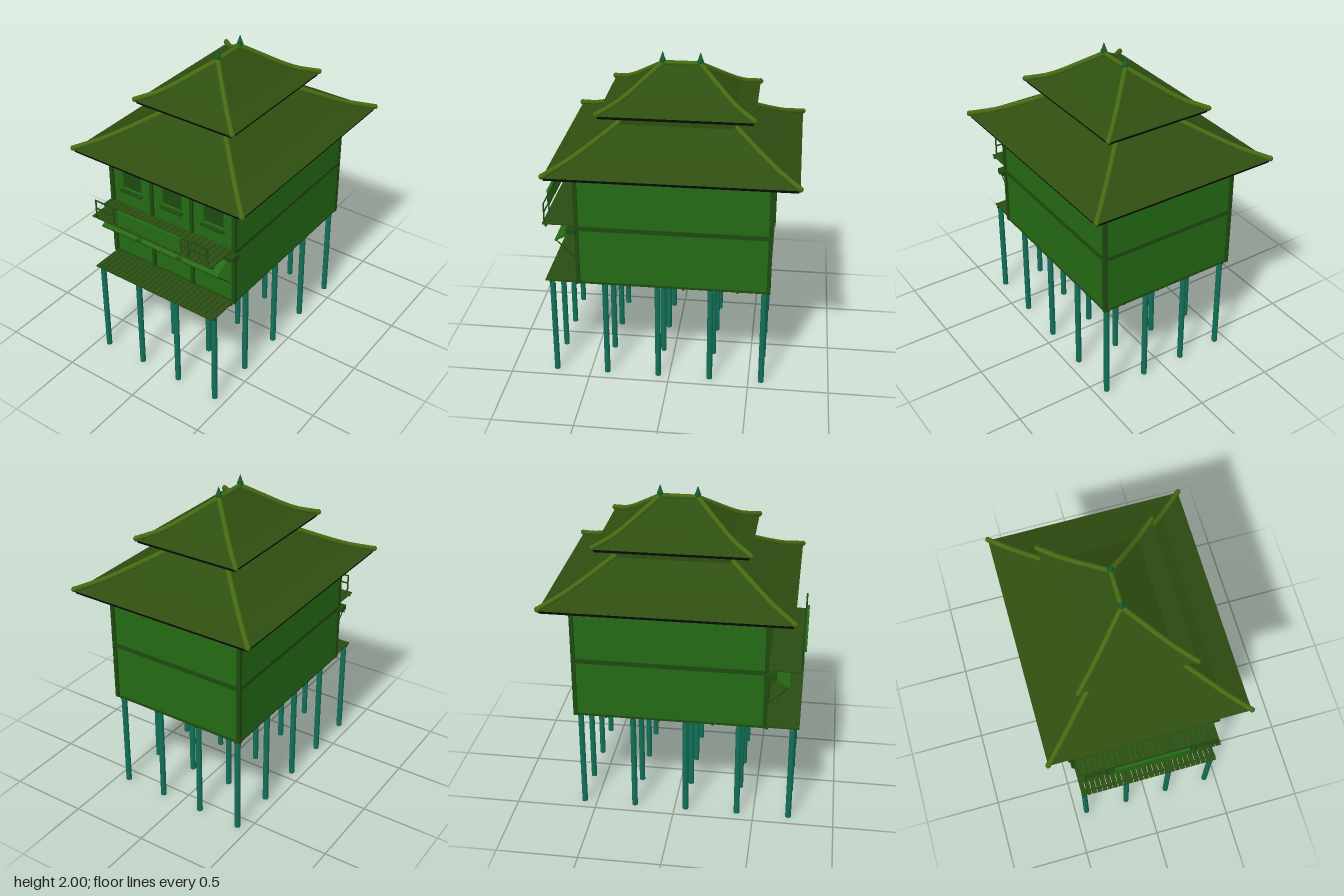
import * as THREE from 'three';

const mat = (color, side = THREE.FrontSide) =>
  new THREE.MeshStandardMaterial({ color, flatShading: false, side });

export function createModel() {
  const model = new THREE.Group();
  const tile = mat(0x2f4e10), ridge = mat(0x456b12), dark = mat(0x0c0f0a), wall = mat(0x246a14);
  const timber = mat(0x1f4a10), stilt = mat(0x127058), plank = mat(0x2a4d12), glass = mat(0x1d4a12);
  const finialMat = mat(0x146030);

  function add(name, geometry, material, x = 0, y = 0, z = 0, parent = model) {
    const mesh = new THREE.Mesh(geometry, material);
    mesh.name = name;
    mesh.position.set(x, y, z);
    parent.add(mesh);
    return mesh;
  }
  // box given by its limits on each axis
  function box(name, material, [x0, x1], [y0, y1], [z0, z1], parent) {
    return add(name, new THREE.BoxGeometry(x1 - x0, y1 - y0, z1 - z0), material,
      (x0 + x1) / 2, (y0 + y1) / 2, (z0 + z1) / 2, parent);
  }
  // round bar between two points
  function bar(name, material, a, b, r, parent) {
    const path = new THREE.LineCurve3(new THREE.Vector3(...a), new THREE.Vector3(...b));
    return add(name, new THREE.TubeGeometry(path, 1, r, 6), material, 0, 0, 0, parent);
  }

  // rectangular shell from [inset, height] rings
  function shell(hx, hz, rings, capBottom) {
    const pos = [];
    const corner = ([i, y], k) => {
      const sx = [1, 1, -1, -1][k % 4], sz = [1, -1, -1, 1][k % 4];
      return [sx * (hx - i), y, sz * (hz - i)];
    };
    const quad = (a, b, c, d) => pos.push(...a, ...b, ...c, ...a, ...c, ...d);
    for (let r = 0; r < rings.length - 1; r++) {
      for (let k = 0; k < 4; k++) {
        quad(corner(rings[r], k), corner(rings[r], k + 1), corner(rings[r + 1], k + 1), corner(rings[r + 1], k));
      }
    }
    if (capBottom) quad(...[3, 2, 1, 0].map(k => corner(rings[0], k)));
    const g = new THREE.BufferGeometry();
    g.setAttribute('position', new THREE.Float32BufferAttribute(pos, 3));
    g.computeVertexNormals();
    return g;
  }

  // hipped roof with dark eave slab and hip ridges
  function roof(name, hx, hz, y0, rings) {
    const g = new THREE.Group();
    g.name = name;
    g.position.z = -0.0275;
    model.add(g);
    add('roofTiles', shell(hx, hz, rings), tile, 0, 0, 0, g);
    add('eaves', shell(hx, hz, [[0.008, y0], [0, rings[0][1]]], true), dark, 0, 0, 0, g);
    for (const sx of [-1, 1]) for (const sz of [-1, 1]) {
      const pts = rings.map(([i, y], n) =>
        new THREE.Vector3(sx * (hx - i), y + (n ? 0.004 : 0.012), sz * (hz - i)));
      const path = new THREE.CurvePath();
      const bend = (a, b) => pts[a].clone().lerp(pts[b], 0.35);
      const p = bend(1, 0), q = bend(1, 2);
      path.add(new THREE.LineCurve3(pts[0], p));
      path.add(new THREE.QuadraticBezierCurve3(p, pts[1], q));
      path.add(new THREE.LineCurve3(q, pts[2]));
      add('hipRidge', new THREE.TubeGeometry(path, 16, 0.016, 8), ridge, 0, 0, 0, g);
      const cap = add('hipEnd', new THREE.SphereGeometry(0.017, 8, 6), ridge, 0, 0, 0, g);
      cap.position.copy(pts[0]);
    }
    return g;
  }

  // stilts
  for (const x of [-0.425, -0.142, 0.142, 0.425]) {
    for (const z of [0.72, 0.395, 0.07, -0.255, -0.58]) {
      add('stilt', new THREE.CylinderGeometry(0.018, 0.018, 0.635, 12), stilt, x, 0.3175, z);
    }
  }

  // floor: planks and joists
  const count = 26, step = 0.89 / count;
  for (let i = 0; i < count; i++) {
    const x = -0.445 + i * step;
    box('deckPlank', plank, [x, x + step - 0.004], [0.652, 0.662], [-0.61, 0.76]);
  }
  for (let i = 0; i < 9; i++) {
    const z = 0.73 - i * 0.164;
    box('joist', timber, [-0.445, 0.445], [0.64, 0.652], [z - 0.006, z + 0.006]);
  }
  for (const x of [-0.425, -0.142, 0.142, 0.425]) {
    box('floorBeam', timber, [x - 0.006, x + 0.006], [0.644, 0.652], [-0.61, 0.74]);
  }

  // two storeys
  box('lowerWalls', wall, [-0.45, 0.45], [0.66, 1.02], [-0.605, 0.545]);
  box('upperWalls', wall, [-0.45, 0.45], [1.04, 1.375], [-0.605, 0.53]);
  box('storeyBeam', timber, [-0.457, 0.457], [1.015, 1.042], [-0.612, 0.56]);
  box('sillBeam', timber, [-0.456, 0.456], [0.655, 0.667], [-0.611, 0.555]);
  for (const sx of [-1, 1]) {
    for (const z of [-0.605, 0.552]) {
      box('cornerPost', timber, [sx * 0.45 - 0.012, sx * 0.45 + 0.012], [0.655, 1.38], [z - 0.012, z + 0.012]);
    }
    box('frontPost', timber, [sx * 0.147 - 0.011, sx * 0.147 + 0.011], [0.66, 1.38], [0.53, 0.562]);
  }

  // front bays: window above, awning below
  for (const x of [-0.3, 0, 0.3]) {
    const panel = new THREE.Shape();
    panel.moveTo(-0.15, 1.04).lineTo(0.15, 1.04).lineTo(0.15, 1.375).lineTo(-0.15, 1.375);
    const hole = new THREE.Path();
    hole.moveTo(-0.07, 1.155).lineTo(-0.07, 1.3).lineTo(0.07, 1.3).lineTo(0.07, 1.155);
    panel.holes.push(hole);
    add('windowWall', new THREE.ExtrudeGeometry(panel, { depth: 0.018, bevelEnabled: false }), wall, x, 0, 0.53);
    box('windowPane', glass, [x - 0.07, x + 0.07], [1.155, 1.3], [0.53, 0.536]);
    box('windowSill', timber, [x - 0.08, x + 0.08], [1.137, 1.149], [0.545, 0.572]);

    const awning = new THREE.Group();
    awning.name = 'awning';
    awning.position.x = x;
    model.add(awning);
    const slope = add('awningPanel', new THREE.BoxGeometry(0.265, 0.008, 0.148), wall, 0, 0.964, 0.625, awning);
    slope.rotation.x = Math.atan2(0.07, 0.13);
    for (const s of [-0.118, 0.118]) {
      bar('awningStrut', timber, [s, 0.928, 0.688], [s, 0.79, 0.55], 0.004, awning);
    }
    bar('awningEdge', timber, [-0.132, 0.928, 0.69], [0.132, 0.928, 0.69], 0.005, awning);
  }

  // balcony with front railing and blank board
  box('balconyBeam', timber, [-0.48, 0.48], [1.0, 1.03], [0.55, 0.612]);
  const slats = 24, pitch = 0.88 / slats;
  for (let i = 0; i < slats; i++) {
    const x = -0.44 + i * pitch;
    box('balconySlat', plank, [x, x + pitch - 0.004], [1.036, 1.044], [0.55, 0.763]);
  }
  box('balconyJoist', timber, [-0.44, 0.44], [1.024, 1.036], [0.735, 0.747]);
  for (const x of [-0.41, -0.275, 0.275, 0.41]) {
    bar('railPost', timber, [x, 1.04, 0.755], [x, 1.163, 0.755], 0.005);
  }
  for (const y of [1.16, 1.105]) {
    bar('railBar', timber, [-0.414, y, 0.755], [0.414, y, 0.755], 0.005);
  }
  box('frontBoard', wall, [-0.23, 0.23], [1.068, 1.165], [0.76, 0.775]);

  // roofs, neck and ridge
  roof('lowerRoof', 0.605, 0.7325, 1.4, [[0, 1.418], [0.155, 1.483], [0.605, 1.755]]);
  box('roofNeck', tile, [-0.23, 0.23], [1.6, 1.662], [-0.37, 0.318]);
  roof('upperRoof', 0.345, 0.4575, 1.687, [[0, 1.705], [0.12, 1.755], [0.345, 1.925]]);
  bar('topRidge', ridge, [0, 1.93, -0.145], [0, 1.93, 0.09], 0.016);
  for (const z of [-0.14, 0.085]) {
    const profile = [[0, 1.92], [0.014, 1.925], [0.02, 1.945], [0.012, 1.965], [0.006, 1.985], [0, 2]];
    const points = profile.map(p => new THREE.Vector2(...p));
    add('finial', new THREE.LatheGeometry(points, 12), finialMat, 0, 0, z);
  }
  return model;
}
